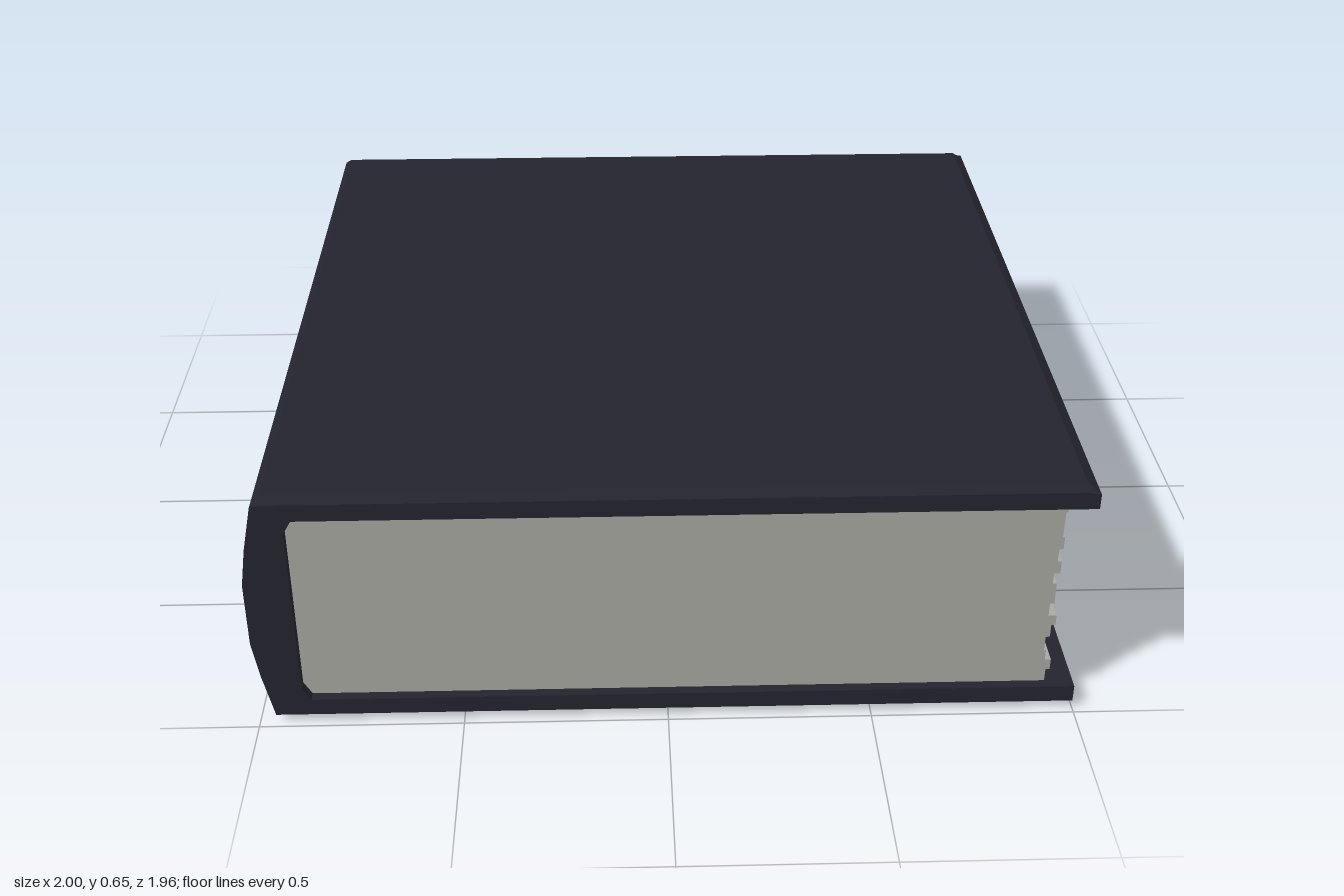
import * as THREE from 'three';

// Extrude an x/y outline along z through four given stations
function extrudeAlongZ(points, stations) {
  const shape = new THREE.Shape(points.map(([x, y]) => new THREE.Vector2(x, y)));
  const geometry = new THREE.ExtrudeGeometry(shape, { depth: 3, steps: 3, bevelEnabled: false });
  const pos = geometry.attributes.position;
  for (let i = 0; i < pos.count; i++) pos.setZ(i, stations[Math.round(pos.getZ(i))]);
  return geometry;
}

export function createModel() {
  const book = new THREE.Group();
  book.name = 'book';

  const coverMaterial = new THREE.MeshStandardMaterial({ color: 0x24242f });
  coverMaterial.name = 'dark cover';
  const paperMaterial = new THREE.MeshStandardMaterial({ color: 0xa9a9a3 });
  paperMaterial.name = 'grey paper';

  // Cover: C-shaped outline with a rounded spine and chamfered boards
  const coverOutline = [
    [-0.94, 0], [0.97, 0], [1, 0.02], [1, 0.065],
    [-0.87, 0.065], [-0.89, 0.1], [-0.89, 0.555], [-0.87, 0.59],
    [1, 0.59], [1, 0.63], [0.97, 0.65], [-0.94, 0.65],
    [-0.96, 0.63], [-0.985, 0.51], [-1, 0.41], [-1, 0.24], [-0.985, 0.14], [-0.96, 0.02],
  ];
  const coverGeometry = extrudeAlongZ(coverOutline, [-0.98, -0.955, 0.955, 0.98]);
  // Chamfer the outer board edges at both ends
  const pos = coverGeometry.attributes.position;
  for (let i = 0; i < pos.count; i++) {
    if (Math.abs(pos.getZ(i)) > 0.97) pos.setY(i, THREE.MathUtils.clamp(pos.getY(i), 0.02, 0.635));
  }
  coverGeometry.computeVertexNormals();
  const cover = new THREE.Mesh(coverGeometry, coverMaterial);
  cover.name = 'cover';
  book.add(cover);

  // Page block: bundles of sheets stepping in and out at the fore edge [top height, x]
  const bundles = [
    [0.1, 0.93], [0.13, 0.94], [0.16, 0.925], [0.2, 0.92], [0.235, 0.93],
    [0.265, 0.94], [0.3, 0.92], [0.36, 0.93], [0.39, 0.92], [0.425, 0.935],
    [0.46, 0.925], [0.495, 0.935], [0.565, 0.93], [0.6, 0.935],
  ];
  const pageOutline = [[-0.9, 0.06]];
  let bottom = 0.06;
  for (const [top, x] of bundles) {
    pageOutline.push([x, bottom], [x, top]);
    bottom = top;
  }
  pageOutline.push([-0.9, 0.6]);
  const pages = new THREE.Mesh(extrudeAlongZ(pageOutline, [-0.955, -0.3, 0.3, 0.955]), paperMaterial);
  pages.name = 'pages';
  book.add(pages);

  return book;
}
